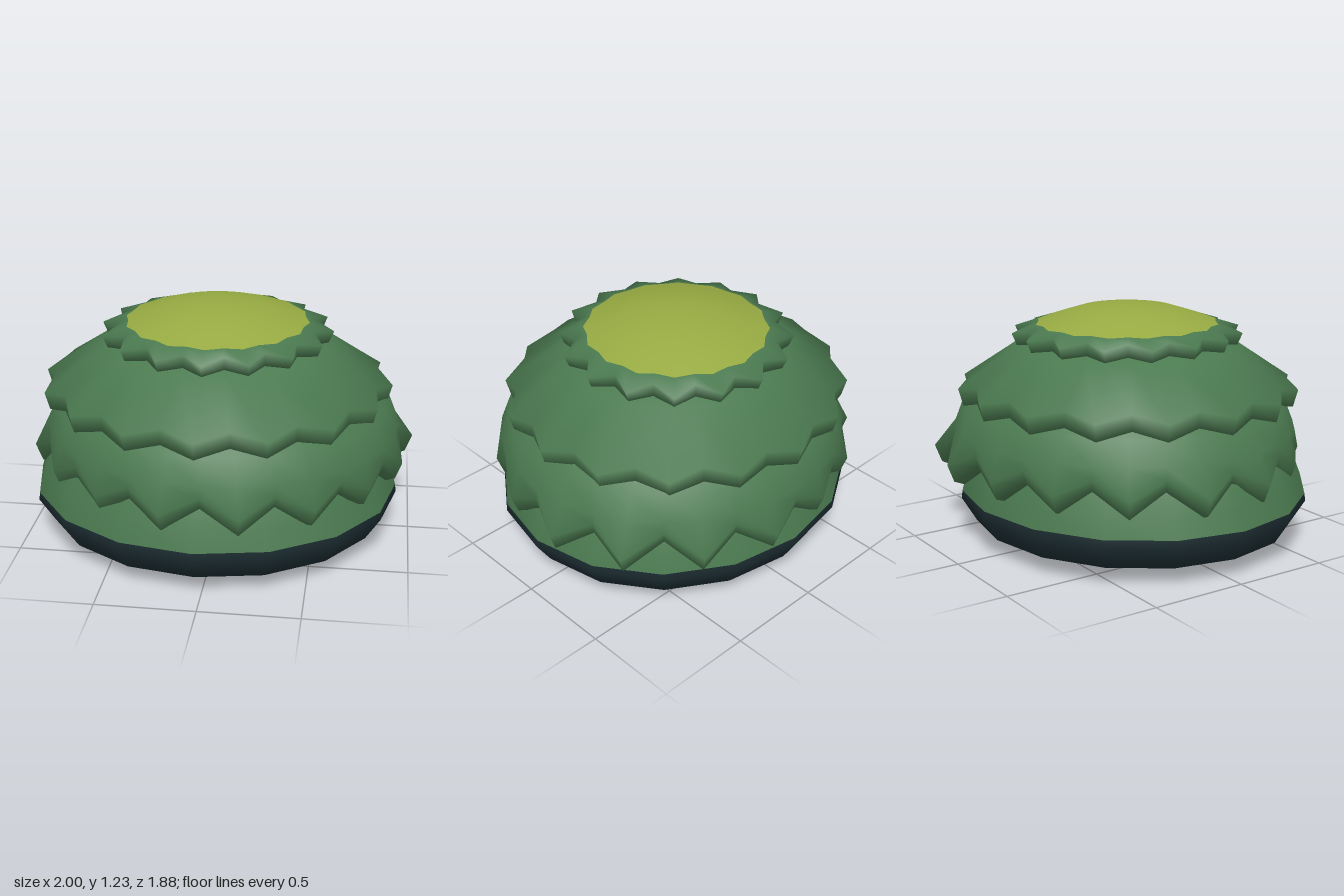
import * as THREE from 'three';
import { toCreasedNormals } from 'three/addons/utils/BufferGeometryUtils.js';

// Rings run from top to bottom: [tipRadius, tipY, valleyRadius, valleyY].
// A ring of two numbers is plain; every second point is a leaf tip.
// reach scales the length of each leaf in turn, depth squeezes the rings in z.
function loft(rings, { sides = 32, phase = 0, cx = -0.03, cz = 0, depth = 1, reach, crease = 2 } = {}) {
  const pos = [], index = [];
  for (const [tipR, tipY, valleyR = tipR, valleyY = tipY] of rings) {
    for (let k = 0; k < sides; k++) {
      const a = phase + (k / sides) * Math.PI * 2;
      const tip = k % 2 === 0;
      const leaf = reach && tip && tipR !== valleyR ? reach[k / 2] : 1;
      const r = tip ? tipR * leaf : valleyR;
      pos.push(cx + Math.sin(a) * r, tip ? tipY : valleyY, cz + Math.cos(a) * r * depth);
    }
  }
  for (let i = 0; i < rings.length - 1; i++) {
    for (let k = 0; k < sides; k++) {
      const n = (k + 1) % sides;
      const a = i * sides + k, b = a + sides, c = (i + 1) * sides + n, d = i * sides + n;
      if (rings[i + 1][0] > 0) index.push(a, b, c);
      if (rings[i][0] > 0) index.push(a, c, d);
    }
  }
  const g = new THREE.BufferGeometry();
  g.setAttribute('position', new THREE.Float32BufferAttribute(pos, 3));
  g.setIndex(index);
  return toCreasedNormals(g, crease);
}

export function createModel() {
  const material = (name, color) => {
    const m = new THREE.MeshStandardMaterial({ color, side: THREE.DoubleSide });
    m.name = name;
    return m;
  };
  const green = material('leaf green', 0x4b7a50);
  const lime = material('lime', 0x97aa42);
  const dark = material('dark slate', 0x1b2b30);

  const group = new THREE.Group();
  group.name = 'layeredBush';
  const add = (name, mat, rings, options) => {
    const mesh = new THREE.Mesh(loft(rings, options), mat);
    mesh.name = name;
    group.add(mesh);
  };

  // Rounded dark underside and the green core above it
  const core = { sides: 16, cx: -0.035, cz: 0.025, depth: 0.93, crease: 0.9 };
  add('base', dark, [[0.955, 0.26], [0.96, 0.22], [0.88, 0.095], [0.58, 0.014], [0.3, 0.002], [0, 0]], core);
  add('core', green, [[0.84, 0.56], [0.88, 0.48], [0.925, 0.37], [0.955, 0.26]], core);

  // Three overlapping layers of pointed leaves, each with a thick lip
  add('lowerLeaves', green, [
    [0.8, 0.79], [0.87, 0.725], [0.92, 0.6],
    [1, 0.455, 0.925, 0.54], [0.965, 0.365, 0.91, 0.48], [0.91, 0.345, 0.86, 0.47],
  ], {
    phase: Math.PI / 16, cx: 0, depth: 0.955,
    reach: [0.997, 0.976, 0.952, 0.966, 1.02, 1.05, 1.04, 1.007, 0.965, 0.967, 0.993, 1.02, 0.996, 0.957, 0.953, 0.984],
  });
  add('middleLeaves', green, [
    [0.45, 1.07], [0.58, 1.025],
    [0.91, 0.81, 0.845, 0.845], [0.885, 0.72, 0.845, 0.765], [0.85, 0.72, 0.8, 0.77],
  ], { depth: 0.96 });
  add('upperLeaves', green, [
    [0.475, 1.13, 0.457, 1.134],
    [0.6, 1.09, 0.515, 1.11], [0.575, 1.03, 0.52, 1.047], [0.45, 1.05],
  ]);

  // Lime crown with a softly scalloped edge
  add('crown', lime, [
    [0, 1.228], [0.12, 1.222], [0.25, 1.203], [0.37, 1.165], [0.475, 1.13, 0.457, 1.134],
  ]);

  return group;
}
